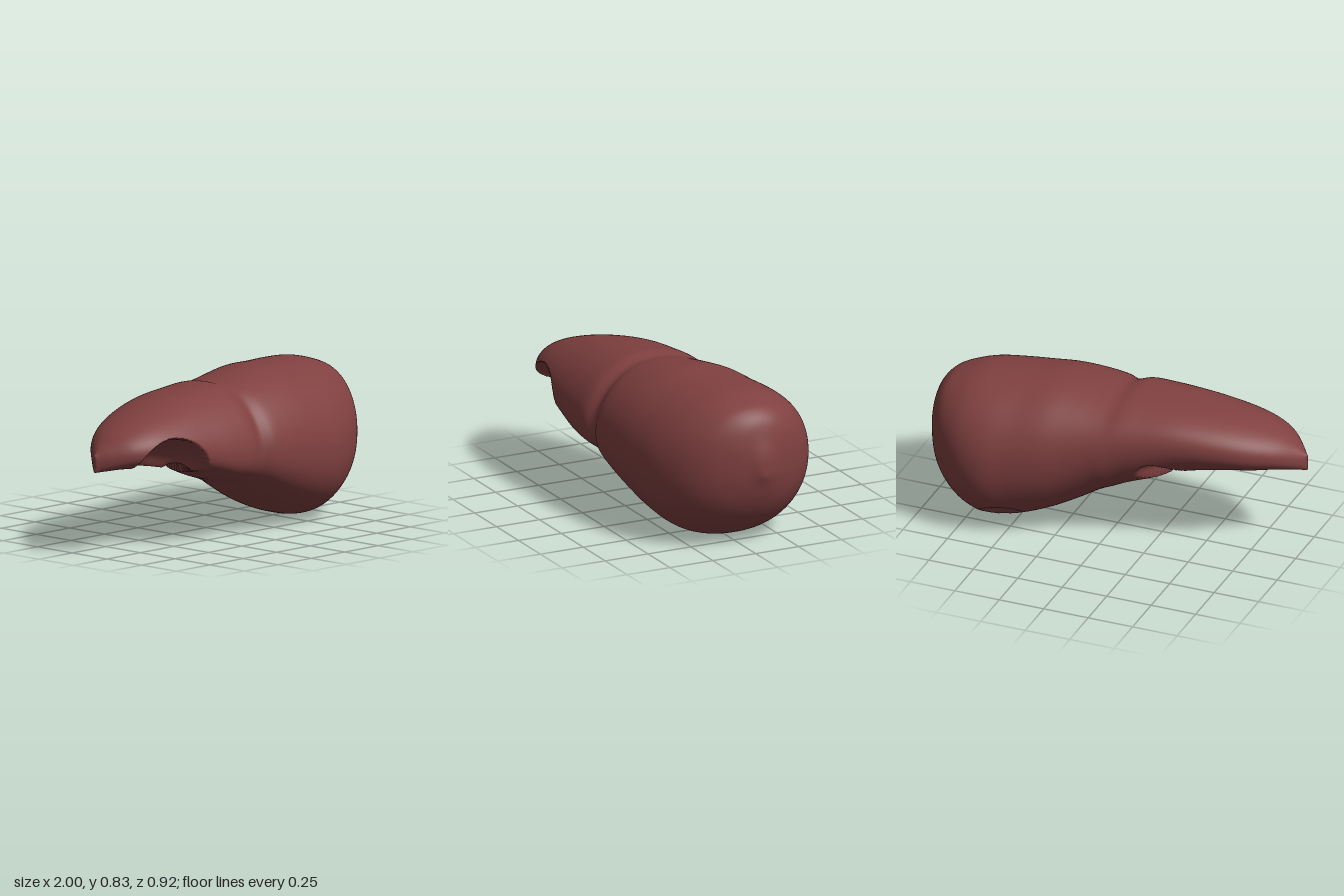
import * as THREE from 'three';

// Cross-sections along x: [x, top, bottom, back z, front z]
const SECTIONS = [
  [-1, 0.53, 0.445, 0.155, 0.165],
  [-0.985, 0.546, 0.445, 0.13, 0.192],
  [-0.95, 0.578, 0.447, 0.09, 0.24],
  [-0.86, 0.642, 0.45, 0.0, 0.33],
  [-0.75, 0.69, 0.44, -0.075, 0.385],
  [-0.6, 0.733, 0.425, -0.14, 0.42],
  [-0.4, 0.77, 0.385, -0.2, 0.445],
  [-0.2, 0.79, 0.31, -0.25, 0.457],
  [-0.09, 0.795, 0.275, -0.278, 0.448],
  [-0.02, 0.784, 0.25, -0.298, 0.42],
  [0.05, 0.795, 0.218, -0.315, 0.446],
  [0.15, 0.812, 0.16, -0.345, 0.452],
  [0.3, 0.828, 0.085, -0.395, 0.447],
  [0.45, 0.823, 0.03, -0.43, 0.435],
  [0.6, 0.818, 0.002, -0.46, 0.412],
  [0.72, 0.81, 0.035, -0.445, 0.365],
  [0.82, 0.785, 0.1, -0.395, 0.3],
  [0.9, 0.75, 0.19, -0.32, 0.21],
  [0.95, 0.69, 0.28, -0.23, 0.11],
  [0.98, 0.59, 0.36, -0.15, 0.02],
  [1, 0.47, 0.43, -0.065, -0.055],
];

const RINGS = 260;
const SIDES = 180;

// Hollows cut into the body; each returns true for a point inside the hollow
const groove = new THREE.Line3(
  new THREE.Vector3(-0.27, 0.415, -0.21),
  new THREE.Vector3(-0.47, 0.35, 0.25),
);
const dentCentre = new THREE.Vector3(0.52, -0.04, -0.37);
const nearest = new THREE.Vector3();

const hollows = [
  // wide arched notch in the front of the narrow end
  (p) => ((p.x + 0.65) / 0.225) ** 2 + ((p.y - 0.4) / 0.205) ** 2 + ((p.z - 0.43) / 0.31) ** 2 < 1,
  // channel running across the underside
  (p) => groove.closestPointToPoint(p, true, nearest).distanceTo(p) < 0.085,
  // shallow round dent under the wide end
  (p) => p.distanceTo(dentCentre) < 0.2,
];
const isHollow = (p) => hollows.some((h) => h(p));

// Pulls a surface point toward the section centre until it leaves every hollow
function carve(p, centre) {
  if (!isHollow(p)) return p;
  let outside = 0;
  let inside = 1;
  const q = new THREE.Vector3();
  for (let i = 0; i < 16; i++) {
    const t = (outside + inside) / 2;
    if (isHollow(q.lerpVectors(centre, p, t))) inside = t;
    else outside = t;
  }
  return q.lerpVectors(centre, p, outside);
}

// Slightly squared circle
const squared = (v) => Math.sign(v) * Math.abs(v) ** 0.94;

// The front flank sags and, on the narrow half, the back flank rises
function flankShift(x, side) {
  const narrow = Math.exp(-(((x + 0.35) / 0.4) ** 2));
  const ends = 1 - x * x;
  const amount = side > 0 ? -(0.045 + 0.055 * narrow) : 0.035 * narrow;
  return amount * ends * side * side;
}

function bodyGeometry() {
  const profile = new THREE.CubicInterpolant(
    SECTIONS.map((s) => Math.acos(-s[0])),
    SECTIONS.flatMap((s) => s.slice(1)),
    4,
  );
  const positions = [];
  const indices = [];
  for (let i = 0; i <= RINGS; i++) {
    const angle = (Math.PI * i) / RINGS;
    const x = -Math.cos(angle);
    const [top, bottom, back, front] = profile.evaluate(angle);
    const centre = new THREE.Vector3(x, (top + bottom) / 2, (front + back) / 2);
    for (let j = 0; j < SIDES; j++) {
      const a = (2 * Math.PI * j) / SIDES;
      const side = Math.sin(a);
      const p = new THREE.Vector3(
        x,
        centre.y + squared(Math.cos(a)) * (top - bottom) / 2 + flankShift(x, side),
        centre.z + squared(side) * (front - back) / 2,
      );
      positions.push(...carve(p, centre).toArray());
      if (i < RINGS) {
        const k = i * SIDES + j;
        const n = i * SIDES + ((j + 1) % SIDES);
        indices.push(k, n, k + SIDES, n, n + SIDES, k + SIDES);
      }
    }
  }
  // closing caps at both tips
  const last = RINGS * SIDES;
  for (let j = 1; j < SIDES - 1; j++) {
    indices.push(0, j + 1, j, last, last + j, last + j + 1);
  }
  const geometry = new THREE.BufferGeometry();
  geometry.setAttribute('position', new THREE.Float32BufferAttribute(positions, 3));
  geometry.setIndex(indices);
  geometry.computeVertexNormals();
  return geometry;
}

export function createModel() {
  const group = new THREE.Group();
  group.name = 'taperedBody';
  const material = new THREE.MeshStandardMaterial({ color: 0x804040 });
  material.name = 'dull red';
  const body = new THREE.Mesh(bodyGeometry(), material);
  body.name = 'body';
  group.add(body);
  return group;
}
